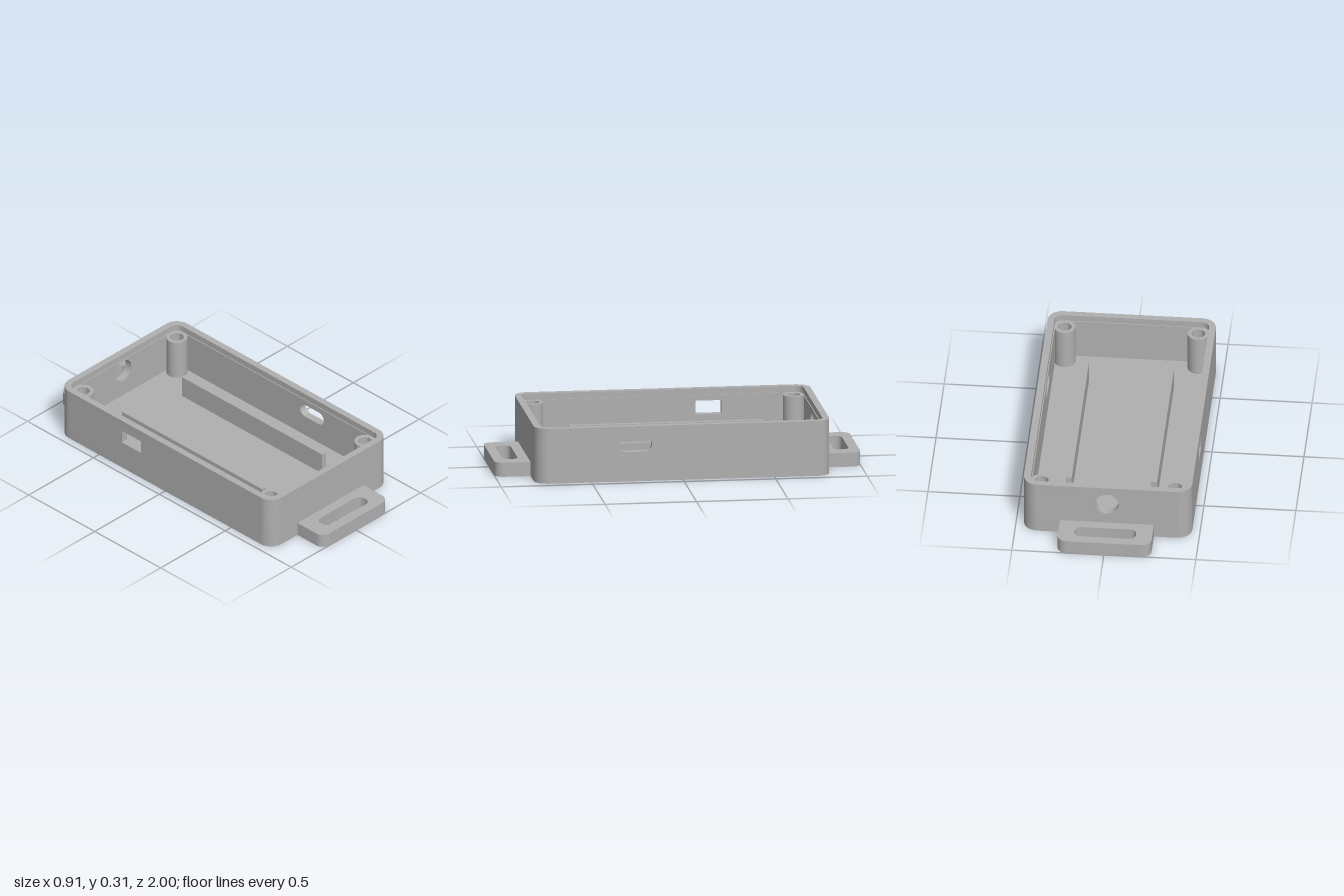
import * as THREE from 'three';
import { toCreasedNormals } from 'three/addons/utils/BufferGeometryUtils.js';

const HX = 0.457, HZ = 0.807, R = 0.08;   // outer half sizes and corner radius
const FLOOR = 0.042, LEDGE = 0.27, TOP = 0.305;
const WALL = 0.042, LIP = 0.037;          // wall thickness below and above the ledge
const CX = HX - R, CZ = HZ - R;           // corner centres

// Trace a rounded rectangle on a Shape or Path
function roundRect(p, x0, y0, x1, y1, r) {
  p.moveTo(x0 + r, y0);
  p.lineTo(x1 - r, y0);
  p.absarc(x1 - r, y0 + r, r, -Math.PI / 2, 0);
  p.lineTo(x1, y1 - r);
  p.absarc(x1 - r, y1 - r, r, 0, Math.PI / 2);
  p.lineTo(x0 + r, y1);
  p.absarc(x0 + r, y1 - r, r, Math.PI / 2, Math.PI);
  p.lineTo(x0, y0 + r);
  p.absarc(x0 + r, y0 + r, r, Math.PI, Math.PI * 1.5);
  return p;
}

function rect(p, x0, y0, x1, y1) {
  p.moveTo(x0, y0);
  p.lineTo(x1, y0);
  p.lineTo(x1, y1);
  p.lineTo(x0, y1);
  p.closePath();
  return p;
}

const circle = (p, r) => p.absarc(0, 0, r, 0, Math.PI * 2);

function extrude(shape, depth) {
  const g = new THREE.ExtrudeGeometry(shape, { depth, bevelEnabled: false, curveSegments: 14 });
  return toCreasedNormals(g, 0.6);
}

// Extrude a plan shape upward from y0 to y1 (shape y points to -z)
function slab(shape, y0, y1) {
  return extrude(shape, y1 - y0).rotateX(-Math.PI / 2).translate(0, y0, 0);
}

export function createModel() {
  const model = new THREE.Group();
  model.name = 'enclosure';
  const grey = new THREE.MeshStandardMaterial({ color: 0xb0b0b0 });
  grey.name = 'grey plastic';

  function add(name, geometry, x = 0, z = 0, turn = 0) {
    const m = new THREE.Mesh(geometry, grey);
    m.name = name;
    m.position.set(x, 0, z);
    m.rotation.y = turn;
    model.add(m);
    return m;
  }

  // Floor plate
  add('floor', slab(roundRect(new THREE.Shape(), -HX, -HZ, HX, HZ, R), 0, FLOOR));

  // Thin upper rim, leaving a small ledge for a lid
  const rim = roundRect(new THREE.Shape(), -HX, -HZ, HX, HZ, R);
  rim.holes.push(roundRect(new THREE.Path(), -HX + LIP, -HZ + LIP, HX - LIP, HZ - LIP, R - LIP));
  add('rim', slab(rim, LEDGE, TOP));

  // Flat walls with their openings
  function wall(name, half, hole, x, z, turn) {
    const s = rect(new THREE.Shape(), -half, FLOOR, half, LEDGE);
    if (hole) s.holes.push(hole);
    add(name, extrude(s, WALL), x, z, turn);
  }
  const cableHole = new THREE.Path().absarc(0, 0.2, 0.063, 0, Math.PI * 2);
  const slot = roundRect(new THREE.Path(), -0.35, 0.163, -0.17, 0.239, 0.0375);
  const port = rect(new THREE.Path(), -0.327, 0.163, -0.183, 0.239);
  wall('frontWall', CX, null, 0, HZ - WALL, 0);
  wall('backWall', CX, cableHole, 0, -HZ + WALL, Math.PI);
  wall('leftWall', CZ, slot, HX - WALL, 0, Math.PI / 2);
  wall('rightWall', CZ, port, -HX + WALL, 0, -Math.PI / 2);

  // Rounded wall corners
  const quarter = new THREE.Shape();
  quarter.absarc(0, 0, R, 0, Math.PI / 2, false);
  quarter.absarc(0, 0, R - WALL, Math.PI / 2, 0, true);
  quarter.closePath();
  const cornerGeo = slab(quarter, FLOOR, LEDGE);
  [[1, -1], [-1, -1], [-1, 1], [1, 1]].forEach(([sx, sz], i) =>
    add('wallCorner', cornerGeo, sx * CX, sz * CZ, i * Math.PI / 2));

  // Hollow screw posts
  const post = circle(new THREE.Shape(), 0.058);
  post.holes.push(circle(new THREE.Path(), 0.037));
  const postGeo = slab(post, FLOOR, LEDGE);
  for (const sx of [-1, 1])
    for (const sz of [-1, 1]) add('screwPost', postGeo, sx * 0.363, sz * 0.713);

  // Long rails on the floor
  const railGeo = new THREE.BoxGeometry(0.032, 0.165 - FLOOR, 1.064);
  railGeo.translate(0, (0.165 + FLOOR) / 2, 0);
  for (const sx of [-1, 1]) add('rail', railGeo, sx * 0.232, 0);

  // Strap tabs at both ends
  const tab = new THREE.Shape();
  tab.moveTo(-0.255, HZ - 0.01);
  tab.lineTo(0.255, HZ - 0.01);
  tab.absarc(0.205, 0.95, 0.05, 0, Math.PI / 2);
  tab.absarc(-0.205, 0.95, 0.05, Math.PI / 2, Math.PI);
  tab.closePath();
  tab.holes.push(roundRect(new THREE.Path(), -0.167, 0.862, 0.167, 0.946, 0.035));
  const tabGeo = slab(tab, 0, 0.078);
  add('backTab', tabGeo);
  add('frontTab', tabGeo, 0, 0, Math.PI);

  return model;
}
